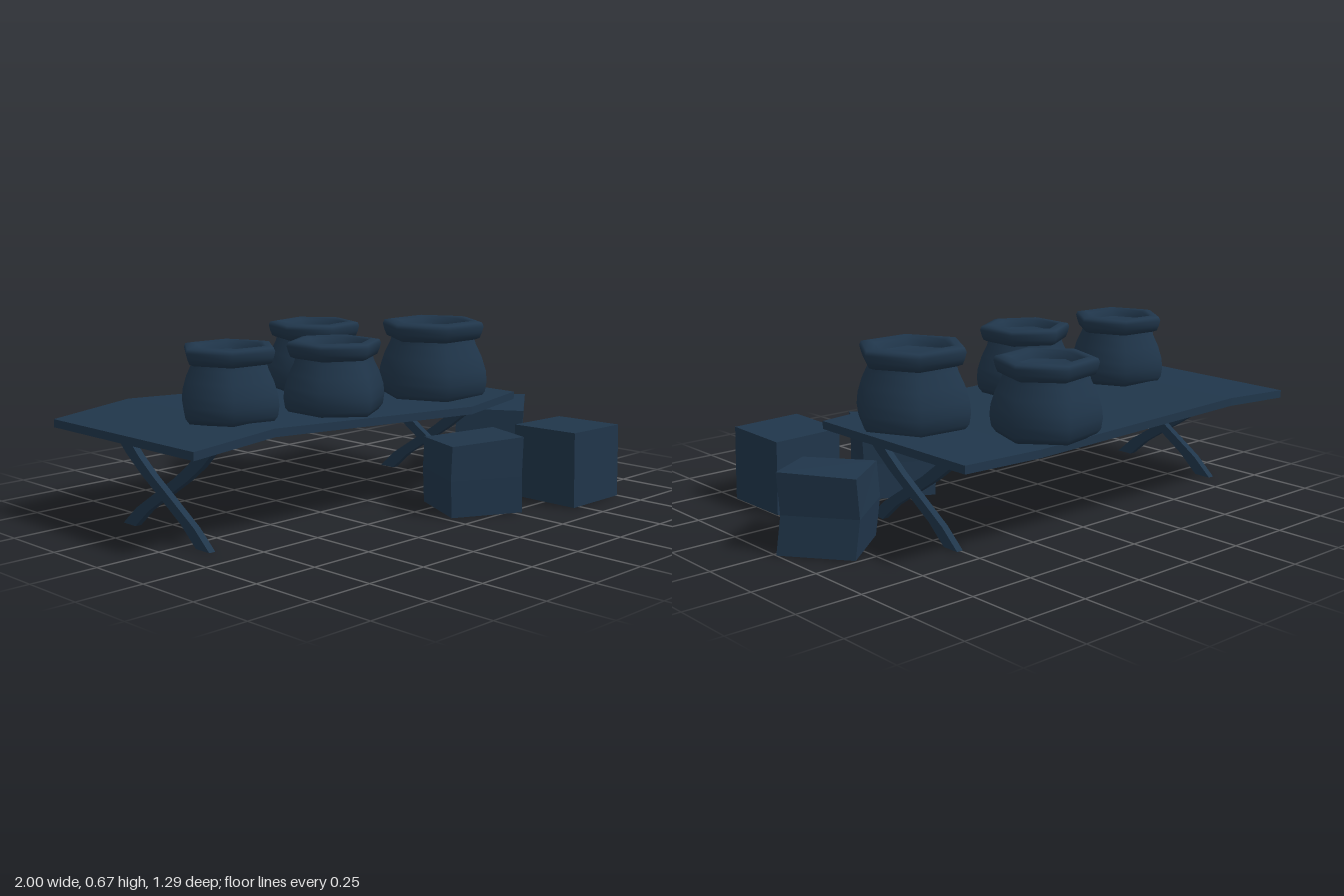
import * as THREE from 'three';

const slate = new THREE.MeshStandardMaterial({ color: 0x20364b });
slate.name = 'slate blue';

function part(name, geometry, parent) {
  const mesh = new THREE.Mesh(geometry, slate);
  mesh.name = name;
  parent.add(mesh);
  return mesh;
}

// Flat-shaded solid joining rings of four corners, capped at both ends
function loft(rings) {
  const pos = [];
  const quad = (a, b, c, d) => [a, b, c, a, c, d].forEach((p) => pos.push(...p));
  for (let k = 0; k < rings.length - 1; k++) {
    for (let i = 0; i < 4; i++) {
      const j = (i + 1) % 4;
      quad(rings[k][i], rings[k][j], rings[k + 1][j], rings[k + 1][i]);
    }
  }
  quad(...[...rings[0]].reverse());
  quad(...rings[rings.length - 1]);
  const g = new THREE.BufferGeometry();
  g.setAttribute('position', new THREE.Float32BufferAttribute(pos, 3));
  g.computeVertexNormals();
  return g;
}

// Six-sided lathe with smooth normals
function hexLathe(profile, angle) {
  const points = profile.map(([r, y]) => new THREE.Vector2(r, y));
  return new THREE.LatheGeometry(points, 6, Math.PI / 2 - angle);
}

// Pot: low belly tapering to the neck, flared lip and a shallow sunken filling
function makePot(x, y, z, r, h, degrees) {
  const pot = new THREE.Group();
  const a = THREE.MathUtils.degToRad(degrees);
  const scaled = (list) => list.map(([pr, py]) => [pr * r, py * h]);
  part('potBody', hexLathe(scaled([
    [0, 0], [0.88, 0], [0.97, 0.08], [1, 0.22], [0.98, 0.36], [0.9, 0.54], [0.79, 0.7], [0.75, 0.8],
  ]), a), pot);
  part('potLip', hexLathe(scaled([
    [0.75, 0.75], [0.86, 0.78], [0.9, 0.85], [0.93, 0.93], [0.9, 0.98], [0.75, 1], [0.66, 0.97], [0.6, 0.88],
  ]), a), pot);
  part('potFilling', hexLathe(scaled([[0.62, 0.88], [0.5, 0.85], [0, 0.83]]), a), pot);
  pot.position.set(x, y, z);
  return pot;
}

// Leg bar: bent strip with level ends, given by its centre line in z and y
function legBar(line, thickness) {
  const half = 0.036;
  const outline = [
    ...line.map(([z, y]) => new THREE.Vector2(z + half, y)),
    ...[...line].reverse().map(([z, y]) => new THREE.Vector2(z - half, y)),
  ];
  const g = new THREE.ExtrudeGeometry(new THREE.Shape(outline), { depth: thickness, bevelEnabled: false });
  g.translate(0, 0, -thickness / 2);
  g.rotateY(-Math.PI / 2);
  return g;
}

export function createModel() {
  const model = new THREE.Group();
  model.name = 'marketTable';

  // Warped board: x, back z, front z, top y
  const sections = [
    [-1, -0.61, 0.2, 0.375],
    [-0.65, -0.64, 0.2, 0.403],
    [0.3, -0.59, 0.27, 0.365],
    [0.643, -0.59, 0.2, 0.374],
  ];
  part('tableTop', loft(sections.map(([x, back, front, top]) => [
    [x, top - 0.03, front], [x, top - 0.03, back], [x, top, back], [x, top, front],
  ])), model);

  // Crossed legs at both ends, the two bars mirrored in z
  const rising = [[-0.365, 0], [-0.285, 0.07], [-0.2, 0.125], [-0.06, 0.215], [0.02, 0.275], [0.1, 0.352]];
  const falling = rising.map(([z, y]) => [-0.27 - z, y]);
  for (const x of [-0.86, 0.488]) {
    const legs = new THREE.Group();
    legs.name = 'crossedLegs';
    part('legBar', legBar(rising, 0.026), legs).position.x = 0.016;
    part('legBar', legBar(falling, 0.026), legs).position.x = -0.016;
    legs.position.x = x;
    model.add(legs);
  }

  // Uneven crates: corners in x and z, top heights, sideways shift of the middle and the top
  const crates = [
    { corners: [[0.4, 0.293], [0.145, 0.165], [0.028, 0.41], [0.28, 0.54]], tops: [0.275, 0.255, 0.268, 0.288], mid: -0.007, top: 0 },
    { corners: [[0.75, 0.64], [0.75, 0.355], [0.467, 0.355], [0.467, 0.64]], tops: [0.285, 0.28, 0.285, 0.29], mid: -0.003, top: -0.007 },
    { corners: [[1, -0.015], [0.83, -0.24], [0.615, -0.07], [0.775, 0.155]], tops: [0.295, 0.285, 0.275, 0.272], mid: -0.022, top: -0.01 },
  ];
  for (const { corners, tops, mid, top } of crates) {
    part('crate', loft([
      corners.map(([x, z]) => [x, 0, z]),
      corners.map(([x, z]) => [x + mid, 0.14, z]),
      corners.map(([x, z], i) => [x + top, tops[i], z]),
    ]), model);
  }

  // Pots: x, y, z, radius, height, turn
  const pots = [
    [-0.612, 0.395, -0.08, 0.192, 0.268, 6],
    [-0.21, 0.385, 0.037, 0.192, 0.268, 90],
    [0.152, 0.37, -0.457, 0.2, 0.28, -11],
    [0.41, 0.36, -0.035, 0.223, 0.308, 1],
  ];
  pots.forEach((p) => {
    const pot = makePot(...p);
    pot.name = 'pot';
    model.add(pot);
  });

  return model;
}
